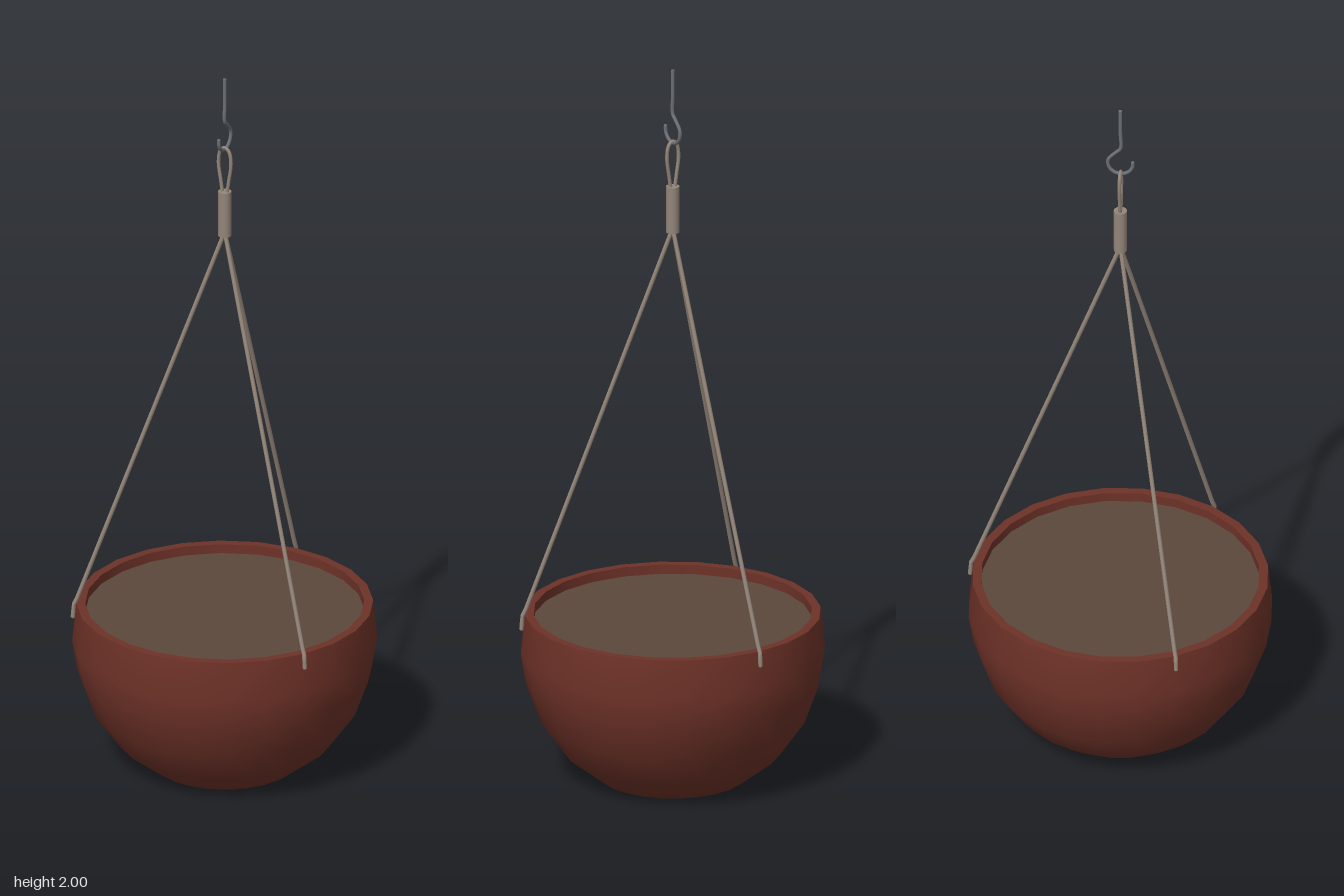
import * as THREE from 'three';

const material = (name, color, extra = {}) => {
  const m = new THREE.MeshStandardMaterial({ color, ...extra });
  m.name = name;
  return m;
};

export function createModel() {
  const model = new THREE.Group();
  const terracotta = material('terracotta', 0x6e3228);
  const earth = material('soil', 0x5a483a);
  const cord = material('cord', 0x94867a);
  const steel = material('steel', 0x6c7076);

  const add = (name, geometry, mat, parent = model) => {
    const mesh = new THREE.Mesh(geometry, mat);
    mesh.name = name;
    parent.add(mesh);
    return mesh;
  };
  const v = (x, y, z) => new THREE.Vector3(x, y, z);
  const lathe = (pts) => new THREE.LatheGeometry(pts.map(([r, y]) => new THREE.Vector2(r, y)), 24);

  // Bowl: smooth outer wall, separate base and rim so their edges stay sharp
  const bowl = new THREE.Group();
  bowl.name = 'bowl';
  model.add(bowl);
  add('bowlBase', lathe([[0, 0], [0.2, 0]]), terracotta, bowl);
  add('bowlWall', lathe([[0.2, 0], [0.29, 0.07], [0.358, 0.165], [0.395, 0.27], [0.409, 0.355], [0.398, 0.462]]), terracotta, bowl);
  add('bowlRim', lathe([[0.398, 0.462], [0.374, 0.462]]), terracotta, bowl);
  add('bowlInnerWall', lathe([[0.374, 0.462], [0.374, 0.43]]), terracotta, bowl);
  add('soil', lathe([[0.374, 0.436], [0, 0.436]]), earth);

  // Three cords, each bent over the rim and ending against the outer wall
  for (let i = 0; i < 3; i++) {
    const strand = new THREE.CurvePath();
    const points = [v(0, 1.55, 0), v(0, 0.478, 0.396), v(0, 0.462, 0.404), v(0, 0.425, 0.407)];
    for (let j = 0; j < 3; j++) strand.add(new THREE.LineCurve3(points[j], points[j + 1]));
    const group = new THREE.Group();
    group.name = 'hangingCord' + (i + 1);
    group.rotation.y = Math.PI + i * Math.PI * 2 / 3;
    model.add(group);
    add('cordStrand', new THREE.TubeGeometry(strand, 64, 0.006, 8), cord, group);
    const end = add('cordEnd', new THREE.SphereGeometry(0.006, 8, 6), cord, group);
    end.position.copy(points[3]);
  }

  // Sleeve binding the cords
  add('sleeve', new THREE.CylinderGeometry(0.018, 0.018, 0.13, 16), cord).position.y = 1.605;

  // Teardrop loop above the sleeve
  const loop = new THREE.CatmullRomCurve3([
    v(-0.006, 1.66, 0), v(-0.012, 1.7, 0), v(-0.019, 1.755, 0), v(-0.013, 1.788, 0), v(0, 1.798, 0),
    v(0.013, 1.788, 0), v(0.019, 1.755, 0), v(0.012, 1.7, 0), v(0.006, 1.66, 0),
  ]);
  add('cordLoop', new THREE.TubeGeometry(loop, 40, 0.005, 8), cord);

  // Ceiling hook: straight shank, then a round crook open toward the front
  const crook = [v(0, 2, 0), v(0, 1.93, 0), v(0, 1.875, 0), v(0, 1.862, -0.012)];
  for (let i = 0; i <= 8; i++) {
    const a = -0.35 + i / 8 * (Math.PI + 0.5);
    crook.push(v(0, 1.827 - 0.034 * Math.sin(a), -0.034 * Math.cos(a)));
  }
  const hook = new THREE.CatmullRomCurve3(crook);
  add('ceilingHook', new THREE.TubeGeometry(hook, 60, 0.005, 8), steel);
  const tip = add('hookTip', new THREE.SphereGeometry(0.005, 8, 6), steel);
  tip.position.copy(crook[crook.length - 1]);
  const top = add('hookTop', new THREE.CircleGeometry(0.005, 8), steel);
  top.position.y = 2;
  top.rotation.x = -Math.PI / 2;

  return model;
}
